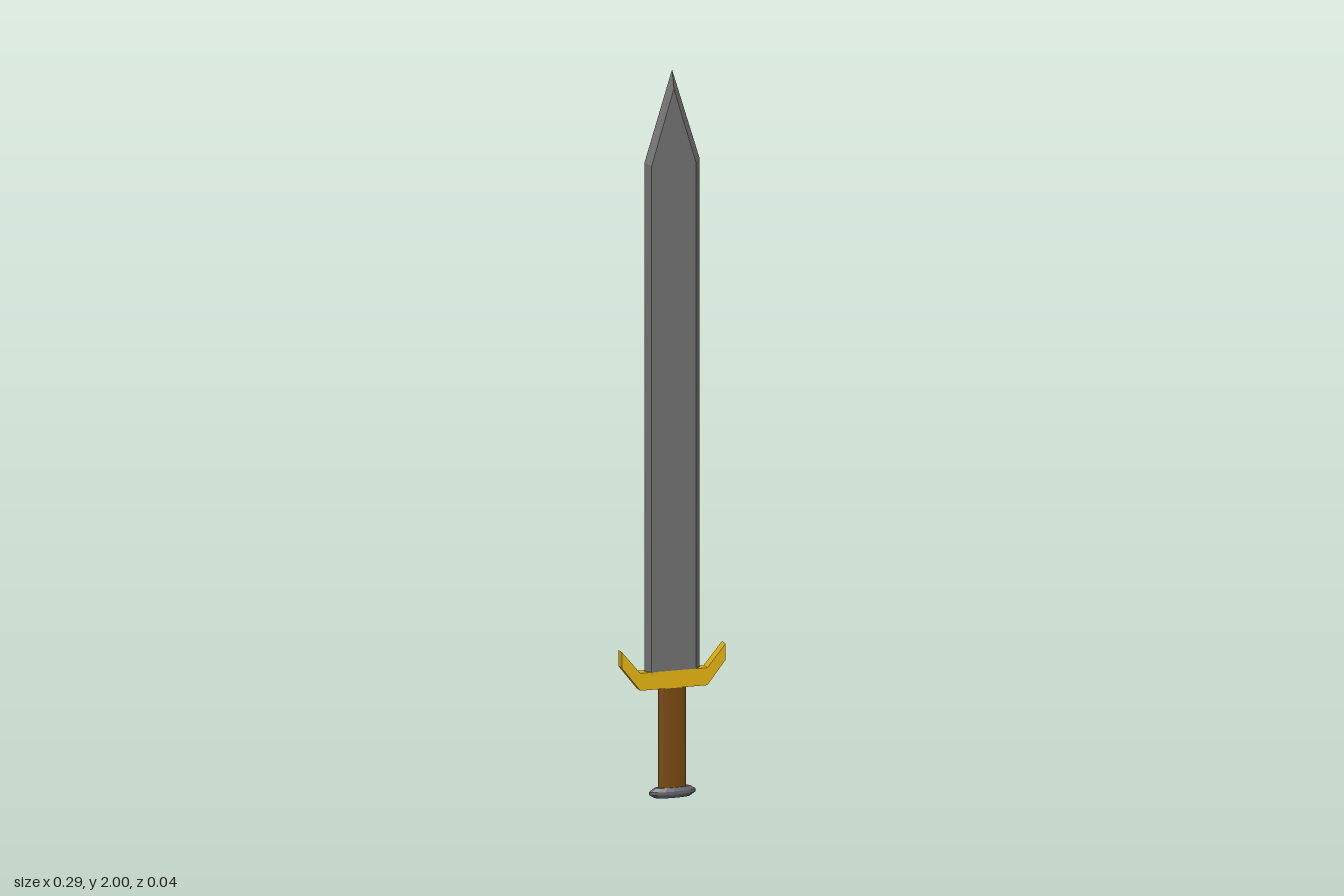
import * as THREE from 'three';

const MID_Z = -0.003; // middle plane of blade and guard

function part(name, geometry, color) {
  const material = new THREE.MeshStandardMaterial({ color, flatShading: true });
  const mesh = new THREE.Mesh(geometry, material);
  mesh.name = name;
  return mesh;
}

// Bevelled blade: a sharp outline in the middle plane, a smaller flat on each side
function bladeGeometry() {
  const h = 0.015;
  const edge = [[-0.078, 0.34], [0.078, 0.34], [0.078, 1.75], [0, 2], [-0.078, 1.75]];
  const flat = [[-0.063, 0.34], [0.063, 0.34], [0.063, 1.742], [0, 1.95], [-0.063, 1.742]];
  const pos = [];
  const tri = (s, a, b, c) => pos.push(...(s > 0 ? [a, b, c] : [a, c, b]).flat());
  for (const s of [1, -1]) {
    const e = edge.map(([x, y]) => [x, y, 0]);
    const f = flat.map(([x, y]) => [x, y, s * h]);
    for (let i = 0; i < 5; i++) {
      const j = (i + 1) % 5;
      tri(s, e[i], e[j], f[j]);
      tri(s, e[i], f[j], f[i]);
      if (i > 0 && i < 4) tri(s, f[0], f[i], f[i + 1]);
    }
  }
  const g = new THREE.BufferGeometry();
  g.setAttribute('position', new THREE.Float32BufferAttribute(pos, 3));
  g.computeVertexNormals();
  return g;
}

// Upswept crossguard, mirrored from its left half
function guardGeometry() {
  const half = [[0.095, 0.302], [0.147, 0.368], [0.147, 0.412], [0.095, 0.35]];
  const outline = [...half, ...half.map(([x, y]) => [-x, y]).reverse()];
  const shape = new THREE.Shape(outline.map(([x, y]) => new THREE.Vector2(x, y)));
  return new THREE.ExtrudeGeometry(shape, { depth: 0.03, bevelEnabled: false }).translate(0, 0, -0.015);
}

export function createModel() {
  const model = new THREE.Group();
  model.name = 'sword';

  const blade = part('blade', bladeGeometry(), 0x6e6e6e);
  const guard = part('crossguard', guardGeometry(), 0xe0b010);
  blade.position.z = guard.position.z = MID_Z;

  // Flattened round grip
  const grip = part('grip', new THREE.CylinderGeometry(0.04, 0.04, 0.29, 16), 0x75480f);
  grip.scale.z = 0.33;
  grip.position.set(0, 0.165, -0.002);

  // Oval pommel with bevelled rims
  const profile = [[0, 0.003], [0.05, 0.003], [0.066, 0.013], [0.066, 0.021], [0.05, 0.031], [0, 0.031]]
    .map(([r, y]) => new THREE.Vector2(r, y));
  const pommel = part('pommel', new THREE.LatheGeometry(profile, 16), 0x62626a);
  pommel.scale.z = 0.29;
  pommel.position.set(0, -0.003, -0.001);

  model.add(blade, guard, grip, pommel);
  return model;
}
